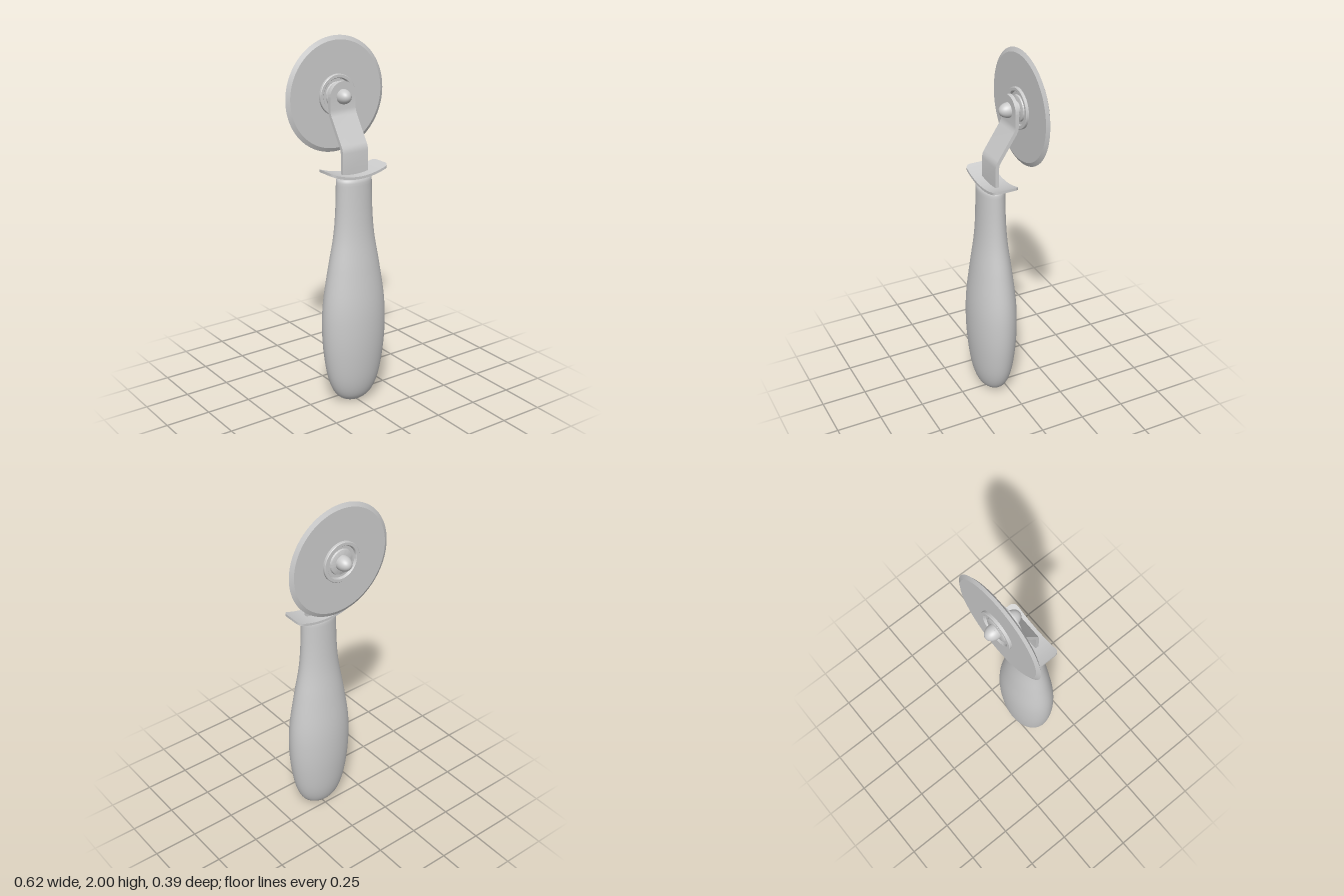
import * as THREE from 'three';
import { toCreasedNormals } from 'three/addons/utils/BufferGeometryUtils.js';

const material = new THREE.MeshStandardMaterial({ color: 0xcccccc });
const AXLE_Y = 1.693, WHEEL_Z = -0.11, HANDLE_Z = 0.064;

function add(group, name, geometry, x = 0, y = 0, z = 0) {
  const mesh = new THREE.Mesh(geometry, material);
  mesh.name = name;
  mesh.position.set(x, y, z);
  group.add(mesh);
  return mesh;
}

const vec2 = (list) => list.map(([a, b]) => new THREE.Vector2(a, b));

// Turned part whose axis runs along z; profile is [radius, z] from back to front
function turned(profile, segments = 64) {
  const g = new THREE.LatheGeometry(vec2(profile), segments).rotateX(Math.PI / 2);
  return toCreasedNormals(g, 0.45);
}

// Move every vertex of a geometry by a rule, then restore crisp edges
function reshape(geometry, rule, crease = 0.6) {
  const p = geometry.attributes.position, v = new THREE.Vector3();
  for (let i = 0; i < p.count; i++) {
    rule(v.fromBufferAttribute(p, i));
    p.setXYZ(i, v.x, v.y, v.z);
  }
  return toCreasedNormals(geometry, crease);
}

// Oval grip: smooth turned profile flattened front to back
function handleGeometry() {
  const curve = new THREE.SplineCurve(vec2([
    [0, 0], [0.06, 0.01], [0.115, 0.055], [0.155, 0.15], [0.181, 0.3], [0.19, 0.45], [0.183, 0.6],
    [0.153, 0.79], [0.122, 0.96], [0.109, 1.1], [0.104, 1.27]]));
  const points = curve.getPoints(70);
  points[0].set(0, 0);
  points.push(...vec2([[0.101, 1.283], [0.092, 1.291], [0, 1.293]]));
  return new THREE.LatheGeometry(points, 64).scale(1, 1, 0.675);
}

// Upward-curving guard plate with rounded corners
function guardGeometry() {
  const halfX = 0.179, halfZ = 0.071, r = 0.03;
  return reshape(new THREE.BoxGeometry(2, 0.014, 2, 60, 1, 1), (v) => {
    const t = Math.sin(v.x * Math.PI / 2); // denser rows near the ends
    v.x = t * halfX;
    const d = Math.max(0, Math.abs(v.x) - (halfX - r));
    v.z *= halfZ - r + Math.sqrt(Math.max(0, r * r - d * d));
    v.y += 0.038 * t * t;
  });
}

// Cranked flat strap with a round top
function strapGeometry() {
  const halfX = 0.08, thickness = 0.02;
  const path = [[1.29, 0.064], [1.42, 0.064], [1.44, 0.06], [1.455, 0.051], [1.59, -0.036],
    [1.608, -0.045], [1.628, -0.048], [AXLE_Y, -0.049]];
  for (let i = 1; i <= 16; i++) path.push([AXLE_Y + halfX * Math.sin(i * Math.PI / 32), -0.049]);
  const last = path.length - 1;
  return reshape(new THREE.BoxGeometry(2, 1, thickness, 1, last, 1), (v) => {
    const i = Math.round((v.y + 0.5) * last);
    const [y, z] = path[i], a = path[Math.max(0, i - 1)], b = path[Math.min(last, i + 1)];
    const dy = b[0] - a[0], dz = b[1] - a[1], len = Math.hypot(dy, dz);
    const rise = Math.max(0, y - AXLE_Y), offset = v.z;
    v.x *= Math.sqrt(Math.max(0, halfX * halfX - rise * rise));
    v.y = y - offset * dz / len;
    v.z = z + offset * dy / len;
  });
}

export function createModel() {
  const model = new THREE.Group();
  model.name = 'rotaryCutter';

  add(model, 'handle', handleGeometry(), -0.004, 0, HANDLE_Z);
  add(model, 'guard', guardGeometry(), -0.001, 1.296, 0.056);
  add(model, 'strap', strapGeometry());

  // Cutting wheel with a bevelled rim
  add(model, 'blade', turned([[0, -0.012], [0.286, -0.012], [0.308, 0], [0.286, 0.012], [0, 0.012]], 96),
    0, AXLE_Y, WHEEL_Z);

  // Hub with a ring groove on both faces
  const half = [[0.11, 0.024], [0.107, 0.027], [0.092, 0.027], [0.089, 0.024], [0.086, 0.014],
    [0.07, 0.014], [0.067, 0.022], [0.062, 0.024], [0, 0.024]];
  const back = half.map(([r, z]) => [r, -z]).reverse();
  add(model, 'hub', turned([...back, ...half]), 0, AXLE_Y, WHEEL_Z);

  // Axle and domed caps
  const axle = new THREE.CylinderGeometry(0.04, 0.04, 0.105, 48).rotateX(Math.PI / 2);
  add(model, 'axle', axle, 0, AXLE_Y, -0.0915);
  for (const [name, z, dir] of [['frontCap', -0.039, 1], ['backCap', -0.141, -1]]) {
    const dome = new THREE.SphereGeometry(0.04, 40, 16, 0, Math.PI * 2, 0, Math.PI / 2)
      .scale(1, 1.36, 1).rotateX(dir * Math.PI / 2);
    add(model, name, dome, 0, AXLE_Y, z);
  }
  return model;
}
